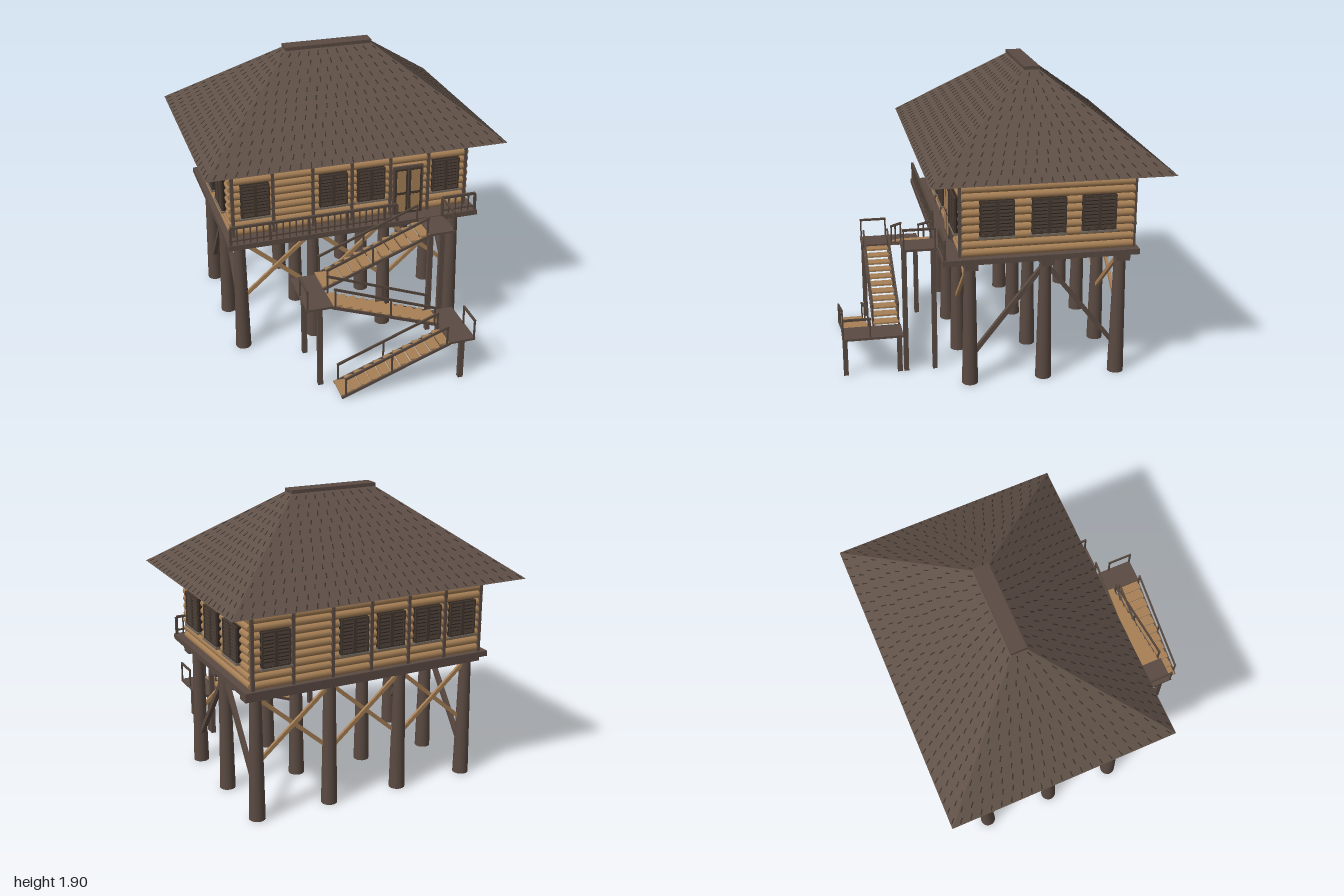
import * as THREE from 'three';
import { mergeGeometries } from 'three/addons/utils/BufferGeometryUtils.js';

const mat = (name, color) => Object.assign(new THREE.MeshStandardMaterial({ color }), { name });
const V = (x, y, z) => new THREE.Vector3(x, y, z);

export function createModel() {
  const root = new THREE.Group();
  root.name = 'stiltHouse';
  const roofBrown = mat('roof brown', 0x5f5047);
  const groove = mat('shingle groove', 0x3b322d);
  const brown = mat('dark timber', 0x5a4a42);
  const tan = mat('tan wood', 0xa67f55);
  const railBrown = mat('rail timber', 0x54463c);
  const shutter = mat('shutter brown', 0x43372f);
  const pane = mat('window shade', 0x2d2521);
  const sillGrey = mat('sill grey', 0x746b60);

  const group = (name, parent = root) => {
    const g = new THREE.Group();
    g.name = name;
    parent.add(g);
    return g;
  };
  const add = (parent, name, geo, m, x = 0, y = 0, z = 0) => {
    const mesh = new THREE.Mesh(geo, m);
    mesh.name = name;
    mesh.position.set(x, y, z);
    parent.add(mesh);
    return mesh;
  };
  // box given by its min and max corners
  const box = (p, name, m, x0, x1, y0, y1, z0, z1) =>
    add(p, name, new THREE.BoxGeometry(x1 - x0, y1 - y0, z1 - z0), m, (x0 + x1) / 2, (y0 + y1) / 2, (z0 + z1) / 2);
  // square bar between two points
  const bar = (p, name, m, a, b, w, h = w) => {
    const mid = a.clone().add(b).multiplyScalar(0.5);
    const mesh = add(p, name, new THREE.BoxGeometry(w, h, a.distanceTo(b)), m, mid.x, mid.y, mid.z);
    mesh.lookAt(b);
    return mesh;
  };

  // Piles, beams and braces
  const base = group('substructure');
  const pileX = [-0.735, -0.245, 0.245, 0.735], pileZ = [0.213, -0.257, -0.73];
  const pileGeo = new THREE.CylinderGeometry(0.036, 0.051, 0.8, 18);
  for (const z of pileZ) {
    for (const x of pileX) add(base, 'pile', pileGeo, brown, x, 0.4, z);
    box(base, 'floorBeam', brown, -0.815, 0.815, 0.78, 0.825, z - 0.042, z + 0.042);
  }
  for (const z of [pileZ[0], pileZ[2]])
    for (let i = 0; i < 3; i++) {
      const a = pileX[i] + 0.025, b = pileX[i + 1] - 0.025;
      bar(base, 'crossBrace', tan, V(a, 0.77, z - 0.009), V(b, 0.39, z - 0.009), 0.018, 0.025);
      bar(base, 'crossBrace', tan, V(a, 0.39, z + 0.009), V(b, 0.77, z + 0.009), 0.018, 0.025);
    }
  for (const x of [pileX[0], pileX[3]])
    for (const z of [0.19, -0.705])
      bar(base, 'sideBrace', brown, V(x, 0.77, -0.257), V(x, 0.2, z), 0.028);

  // Deck
  box(root, 'deck', brown, -0.835, 0.835, 0.825, 0.86, -0.825, 0.39);

  // Log walls
  const walls = group('walls');
  box(walls, 'wallCore', tan, -0.775, 0.775, 0.86, 1.36, -0.785, 0.265);
  const rows = 10, step = 0.5 / rows;
  const longLog = new THREE.CylinderGeometry(0.025, 0.025, 1.57, 12).rotateZ(Math.PI / 2);
  const shortLog = new THREE.CylinderGeometry(0.025, 0.025, 1.06, 12).rotateX(Math.PI / 2);
  for (let i = 0; i < rows; i++) {
    const y = 0.86 + step * (i + 0.5);
    for (const z of [0.26, -0.78]) add(walls, 'log', longLog, tan, 0, y, z);
    for (const x of [-0.78, 0.78]) add(walls, 'log', shortLog, tan, x, y, -0.26);
  }
  for (let i = 0; i < 7; i++) {
    const x = -0.78 + i * 0.26;
    for (const z of [0.275, -0.795]) box(walls, 'wallPost', brown, x - 0.01, x + 0.01, 0.86, 1.36, z - 0.013, z + 0.013);
  }

  // Louvred windows, built facing +z
  const makeWindow = (x, z, turn, w) => {
    const g = group('window');
    const h = 0.22, f = 0.011;
    box(g, 'windowPane', pane, -w / 2, w / 2, -h / 2, h / 2, -0.02, 0.002);
    for (const s of [-1, 1]) {
      const c = (s * w) / 4, hw = w / 4;
      for (const e of [-1, 1]) {
        const sx = c + e * (hw - f / 2), sy = e * (h / 2 - f / 2);
        box(g, 'shutterStile', shutter, sx - f / 2, sx + f / 2, -h / 2, h / 2, 0, 0.014);
        box(g, 'shutterRail', shutter, c - hw, c + hw, sy - f / 2, sy + f / 2, 0, 0.014);
      }
      for (let i = 0; i < 9; i++) {
        const slat = add(g, 'slat', new THREE.BoxGeometry(w / 2 - 2 * f, 0.015, 0.004), shutter, c, -0.088 + i * 0.022, 0.007);
        slat.rotation.x = -0.5;
      }
    }
    box(g, 'windowSill', sillGrey, -w / 2 - 0.008, w / 2 + 0.008, -h / 2 - 0.012, -h / 2, -0.02, 0.02);
    g.position.set(x, 1.105, z);
    g.rotation.y = turn;
  };
  for (const x of [-0.637, -0.128, 0.125, 0.637]) makeWindow(x, 0.292, 0, 0.185);
  for (const x of [-0.637, -0.385, -0.128, 0.125, 0.637]) makeWindow(x, -0.812, Math.PI, 0.185);
  for (const z of [0.06, -0.257, -0.567])
    for (const s of [-1, 1]) makeWindow(s * 0.812, z, (s * Math.PI) / 2, 0.21);

  // Double door
  const door = group('door');
  box(door, 'doorFrame', brown, 0.275, 0.482, 0.86, 1.2, 0.26, 0.295);
  for (const c of [0.33, 0.427]) {
    box(door, 'doorLeaf', shutter, c - 0.044, c + 0.044, 0.865, 1.185, 0.28, 0.3);
    box(door, 'upperPanel', tan, c - 0.03, c + 0.03, 1.02, 1.17, 0.298, 0.303);
    box(door, 'lowerPanel', tan, c - 0.03, c + 0.03, 0.88, 1.0, 0.298, 0.303);
  }

  // Hipped roof: a box with its top drawn in to the ridge
  const CZ = -0.257, EX = 0.977, EZ = 0.733, RX = 0.285, RZ = 0.045, Y0 = 1.36, Y1 = 1.88;
  const roof = group('roof');
  let roofGeo = new THREE.BoxGeometry(2 * EX, Y1 - Y0, 2 * EZ);
  const pos = roofGeo.attributes.position;
  for (let i = 0; i < pos.count; i++)
    if (pos.getY(i) > 0) pos.setXYZ(i, Math.sign(pos.getX(i)) * RX, pos.getY(i), Math.sign(pos.getZ(i)) * RZ);
  roofGeo = roofGeo.toNonIndexed();
  roofGeo.computeVertexNormals();
  add(roof, 'roofSlopes', roofGeo, roofBrown, 0, (Y0 + Y1) / 2, CZ);
  box(roof, 'ridgeCap', brown, -0.29, 0.29, 1.878, 1.9, CZ - 0.05, CZ + 0.05);

  // Shingle grooves fanning down each slope
  const dashes = [];
  const dashGeo = new THREE.BoxGeometry(0.007, 0.004, 0.036);
  for (let side = 0; side < 4; side++) {
    const long = side % 2 === 0;
    const [eHalf, rHalf, eOut, rOut] = long ? [EX, RX, EZ, RZ] : [EZ, RZ, EX, RX];
    const spin = new THREE.Matrix4().makeRotationY((side * Math.PI) / 2);
    const at = (u, t) => V(u * (rHalf + (eHalf - rHalf) * t), Y1 + (Y0 - Y1) * t, rOut + (eOut - rOut) * t);
    for (let r = 0; r < 13; r++) {
      const t = (r + 0.6) / 13;
      const n = Math.max(2, Math.round((2 * (rHalf + (eHalf - rHalf) * t)) / 0.066));
      for (let i = 0; i < n; i++) {
        const u = ((i + (r % 2 ? 0.3 : 0.7)) / n) * 2 - 1;
        const p = at(u, t);
        const down = at(u, 1).sub(at(u, 0)).normalize();
        const across = V(1, 0, 0).addScaledVector(down, -down.x).normalize();
        const m = new THREE.Matrix4().makeBasis(across, down.clone().cross(across), down).setPosition(p);
        dashes.push(dashGeo.clone().applyMatrix4(m.premultiply(spin)));
      }
    }
  }
  add(roof, 'shingleGrooves', mergeGeometries(dashes), groove, 0, 0, CZ);

  // Veranda railing
  const railing = group('verandaRailing');
  for (const [a, b] of [[-0.82, 0.275], [0.59, 0.82]]) {
    box(railing, 'topRail', railBrown, a, b, 0.97, 0.985, 0.368, 0.384);
    box(railing, 'bottomRail', railBrown, a, b, 0.882, 0.892, 0.371, 0.381);
    const n = Math.round((b - a) / 0.042);
    for (let i = 0; i <= n; i++) {
      const x = a + ((b - a) * i) / n, w = i % 6 === 0 || i === n ? 0.008 : 0.004;
      box(railing, 'baluster', railBrown, x - w, x + w, 0.86, 0.975, 0.376 - w, 0.376 + w);
    }
  }

  // Stair flights: x and y at the foot and head, z range
  const makeFlight = (xa, ya, xb, yb, z0, z1) => {
    const g = group('stairFlight');
    const n = 11, dx = (xb - xa) / n, dy = (yb - ya) / n;
    for (let i = 0; i < n; i++) {
      const x = xa + dx * (i + 0.5), y = ya + dy * (i + 0.6);
      box(g, 'tread', tan, x - 0.034, x + 0.034, y - 0.006, y + 0.006, z0 + 0.008, z1 - 0.008);
    }
    for (const z of [z0 + 0.006, z1 - 0.006]) {
      bar(g, 'stringer', brown, V(xa, ya, z), V(xb, yb - 0.01, z), 0.012, 0.018);
      const point = (k, h) => V(xa + (xb - xa) * k, ya + (yb - ya) * k + h, z);
      bar(g, 'handrail', railBrown, point(0.03, 0.122), point(0.98, 0.122), 0.012, 0.014);
      for (const k of [0.04, 0.46, 0.97]) bar(g, 'railPost', railBrown, point(k, 0), point(k, 0.12), 0.01);
    }
  };
  makeFlight(-0.29, 0.012, 0.425, 0.28, 0.81, 0.985);
  makeFlight(0.425, 0.285, -0.29, 0.562, 0.615, 0.79);
  makeFlight(-0.29, 0.57, 0.425, 0.85, 0.4, 0.6);

  // Landings with legs and an end rail
  const makeLanding = (x0, x1, top, z0, z1, railX, r0, r1) => {
    const g = group('landing');
    box(g, 'landingBoard', brown, x0, x1, top - 0.015, top, z0, z1);
    const x = (x0 + x1) / 2;
    for (const z of [z0 + 0.018, z1 - 0.018]) box(g, 'landingLeg', brown, x - 0.016, x + 0.016, 0, top - 0.01, z - 0.015, z + 0.015);
    for (const z of [r0, r1]) box(g, 'endPost', railBrown, railX - 0.005, railX + 0.005, top, top + 0.125, z - 0.005, z + 0.005);
    box(g, 'endRail', railBrown, railX - 0.006, railX + 0.006, top + 0.118, top + 0.132, r0 - 0.006, r1 + 0.006);
  };
  makeLanding(0.42, 0.59, 0.285, 0.61, 0.99, 0.583, 0.816, 0.984);
  makeLanding(-0.455, -0.285, 0.57, 0.4, 0.8, -0.448, 0.62, 0.79);
  makeLanding(0.42, 0.59, 0.855, 0.385, 0.605, 0.583, 0.4, 0.595);
  return root;
}
